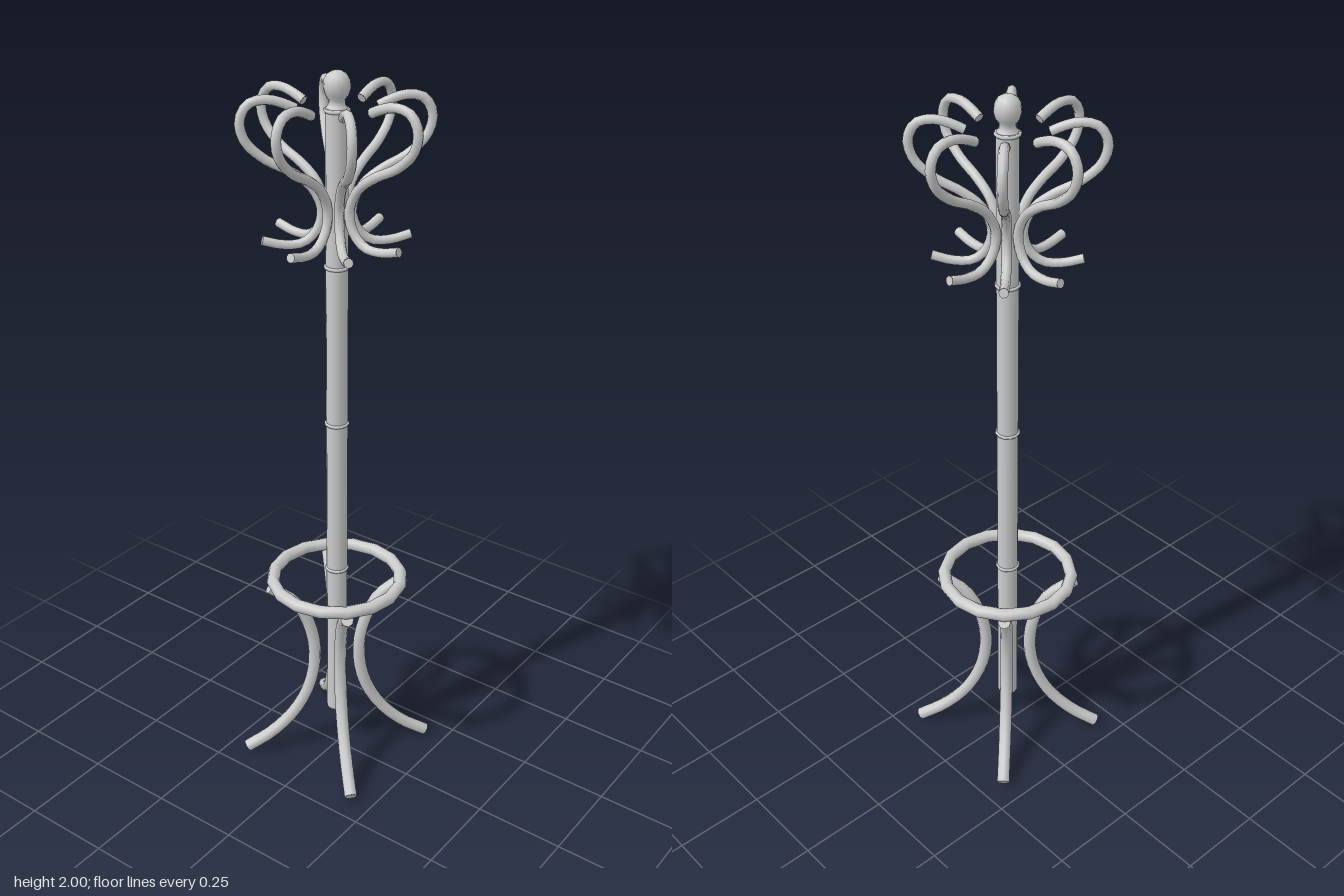
import * as THREE from 'three';

const material = new THREE.MeshStandardMaterial({ color: 0xcccccc });

function addMesh(parent, name, geometry) {
  const mesh = new THREE.Mesh(geometry, material);
  mesh.name = name;
  parent.add(mesh);
  return mesh;
}

// Round bent-wood rod through [radius, height] points, with closed ends
function bentRod(name, points, radius, segments) {
  const rod = new THREE.Group();
  rod.name = name;
  const curve = new THREE.CatmullRomCurve3(points.map(([r, y]) => new THREE.Vector3(r, y, 0)));
  addMesh(rod, name + 'Rod', new THREE.TubeGeometry(curve, segments, radius, 8, false));
  for (const t of [0, 1]) {
    const cap = addMesh(rod, name + 'End', new THREE.CircleGeometry(radius, 8));
    const out = curve.getTangent(t).multiplyScalar(t ? 1 : -1);
    cap.position.copy(curve.getPoint(t));
    cap.quaternion.setFromUnitVectors(new THREE.Vector3(0, 0, 1), out);
  }
  return rod;
}

// Repeat a part evenly about the pole
function radialArray(parent, part, count, offset) {
  for (let i = 0; i < count; i++) {
    const copy = part.clone();
    copy.rotation.y = offset + (i * Math.PI * 2) / count;
    parent.add(copy);
  }
}

export function createModel() {
  const model = new THREE.Group();
  model.name = 'coatStand';

  // Central pole
  const pole = addMesh(model, 'pole', new THREE.CylinderGeometry(0.029, 0.029, 1.77, 12));
  pole.position.y = 0.14 + 1.77 / 2;

  // Thin turned bands on the pole
  for (const y of [0.617, 1.068, 1.508, 1.905]) {
    const band = addMesh(model, 'poleBand', new THREE.TorusGeometry(0.029, 0.005, 6, 12));
    band.rotation.x = Math.PI / 2;
    band.position.y = y;
  }

  // Finial: neck flowing into an egg-shaped knob
  const finial = [
    [0.029, 1.908], [0.021, 1.918], [0.02, 1.93], [0.029, 1.942], [0.034, 1.96],
    [0.032, 1.977], [0.024, 1.991], [0.012, 1.998], [0, 2],
  ].map(([r, y]) => new THREE.Vector2(r, y));
  addMesh(model, 'finial', new THREE.LatheGeometry(finial, 12));

  // Umbrella ring
  const ring = addMesh(model, 'umbrellaRing', new THREE.TorusGeometry(0.18, 0.018, 8, 16));
  ring.rotation.x = Math.PI / 2;
  ring.position.y = 0.583;

  // Four curved legs on the diagonals
  const leg = bentRod('leg', [
    [0.266, 0.016], [0.195, 0.06], [0.127, 0.13], [0.081, 0.22],
    [0.064, 0.32], [0.075, 0.415], [0.116, 0.507], [0.19, 0.565],
  ], 0.0178, 20);
  radialArray(model, leg, 4, Math.PI / 4);

  // Eight S-shaped hooks: small lower peg, large upper loop
  const hook = bentRod('hook', [
    [0.187, 1.586], [0.135, 1.573], [0.085, 1.576], [0.05, 1.608], [0.038, 1.66],
    [0.063, 1.718], [0.11, 1.756], [0.175, 1.791], [0.223, 1.838], [0.234, 1.888],
    [0.212, 1.927], [0.17, 1.936], [0.13, 1.926], [0.1, 1.912],
  ], 0.0125, 36);
  radialArray(model, hook, 8, 0);

  return model;
}
